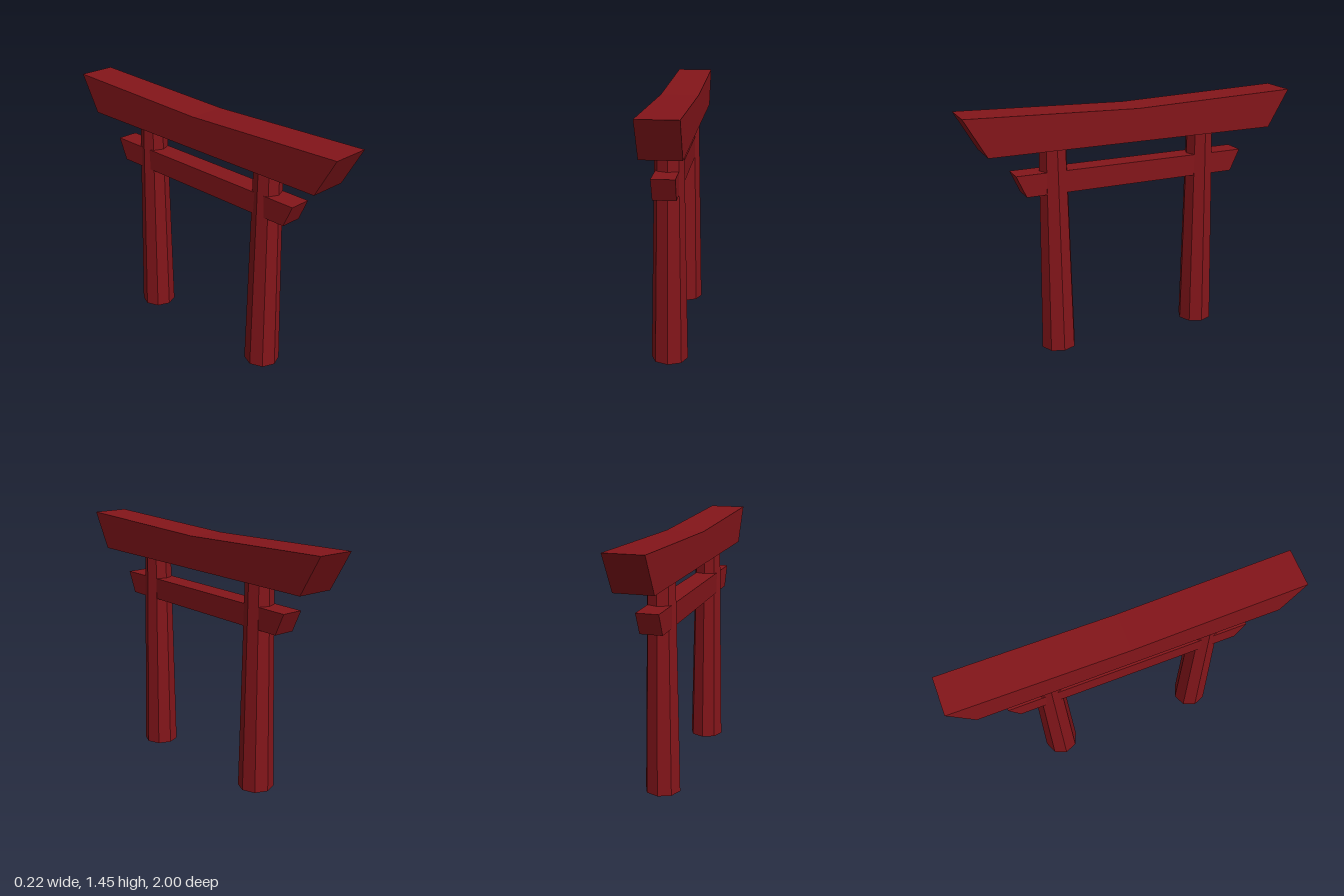
import * as THREE from 'three';

const red = new THREE.MeshStandardMaterial({ color: 0x84151a, flatShading: true });

// Beam from a (z, y) side profile, extruded across x
function beam(name, profile, width, x) {
  const shape = new THREE.Shape(profile.map(([z, y]) => new THREE.Vector2(z, y)));
  const geo = new THREE.ExtrudeGeometry(shape, { depth: width, bevelEnabled: false });
  geo.translate(0, 0, -width / 2).rotateY(-Math.PI / 2);
  const mesh = new THREE.Mesh(geo, red);
  mesh.name = name;
  mesh.position.x = x;
  return mesh;
}

// Tapered eight-sided post
function post(name, z, base) {
  const height = 1.235 - base;
  const mesh = new THREE.Mesh(new THREE.CylinderGeometry(0.08, 0.103, height, 8), red);
  mesh.name = name;
  mesh.position.set(-0.005, base + height / 2, z);
  return mesh;
}

export function createModel() {
  const gate = new THREE.Group();
  gate.name = 'gate';
  gate.add(
    post('frontPost', 0.477, 0),
    post('backPost', -0.453, 0.005),
    // Top beam: slanted ends, upper edge rising from the middle to both tips
    beam('topBeam', [[-0.87, 1.23], [0.875, 1.23], [1, 1.45], [0, 1.42], [-1, 1.45]], 0.22, 0),
    // Tie beam running through the posts
    beam('tieBeam', [[-0.645, 0.968], [0.655, 0.968], [0.712, 1.095], [-0.705, 1.095]], 0.128, -0.01)
  );
  return gate;
}
